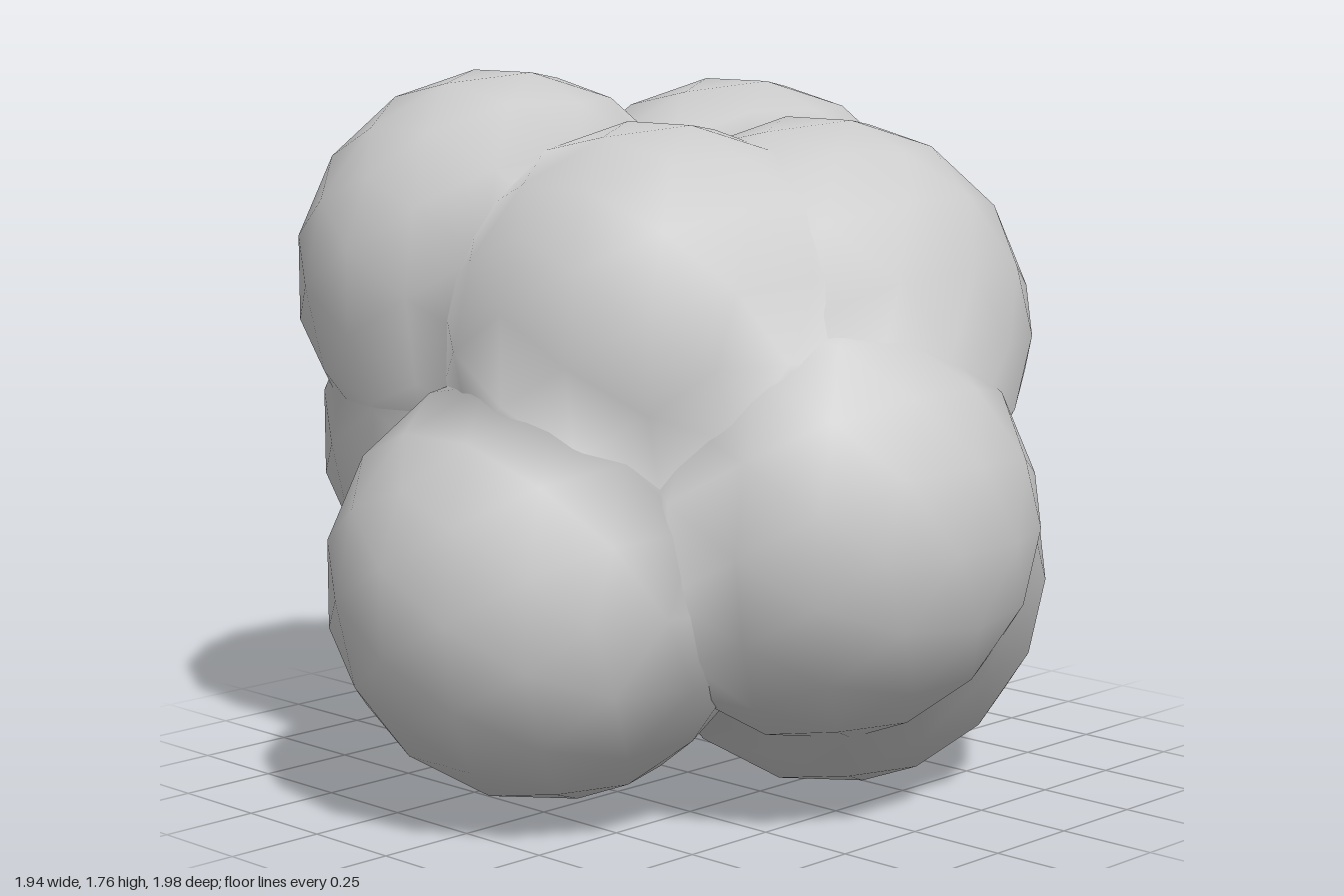
import * as THREE from 'three';

// Lobes of the cluster: name, centre, radius
const lobes = [
  ['upperRightLobe', [-0.45, 1.25, 0.2], 0.525],
  ['upperBackLobe', [-0.28, 1.2, -0.47], 0.535],
  ['upperFrontLobe', [0.1, 1.14, 0.2], 0.53],
  ['upperLeftLobe', [0.25, 1.14, -0.2], 0.53],
  ['lowerFrontLobe', [-0.02, 0.57, 0.47], 0.53],
  ['lowerLeftLobe', [0.45, 0.72, 0.01], 0.53],
  ['lowerBackLobe', [0.26, 0.53, -0.25], 0.535],
  ['lowerRightLobe', [-0.45, 0.85, 0.12], 0.53],
].map(([name, c, radius]) => ({ name, centre: new THREE.Vector3(...c), radius }));

// Normal of the whole cluster at a point: the nearest lobes are blended,
// which softens the shading along the seams
function blendedNormal(p) {
  const n = new THREE.Vector3();
  for (const { centre, radius } of lobes) {
    const d = p.clone().sub(centre);
    const gap = d.length() - radius;
    n.addScaledVector(d.normalize(), Math.exp(-18 * gap));
  }
  return n.normalize();
}

// One low-poly ball with softened normals
function makeLobe({ name, centre, radius }, material) {
  const geo = new THREE.IcosahedronGeometry(radius, 2);
  const pos = geo.attributes.position;
  const normal = geo.attributes.normal;
  const p = new THREE.Vector3();
  for (let i = 0; i < pos.count; i++) {
    p.fromBufferAttribute(pos, i);
    const own = p.clone().normalize();
    const n = blendedNormal(p.add(centre));
    // Vertices buried in the cluster keep their own direction
    if (n.dot(own) < 0.3) n.copy(own);
    normal.setXYZ(i, n.x, n.y, n.z);
  }
  const mesh = new THREE.Mesh(geo, material);
  mesh.name = name;
  mesh.position.copy(centre);
  return mesh;
}

export function createModel() {
  const group = new THREE.Group();
  group.name = 'lobeCluster';
  const material = new THREE.MeshStandardMaterial({ color: 0xcccccc });
  for (const lobe of lobes) group.add(makeLobe(lobe, material));
  return group;
}
